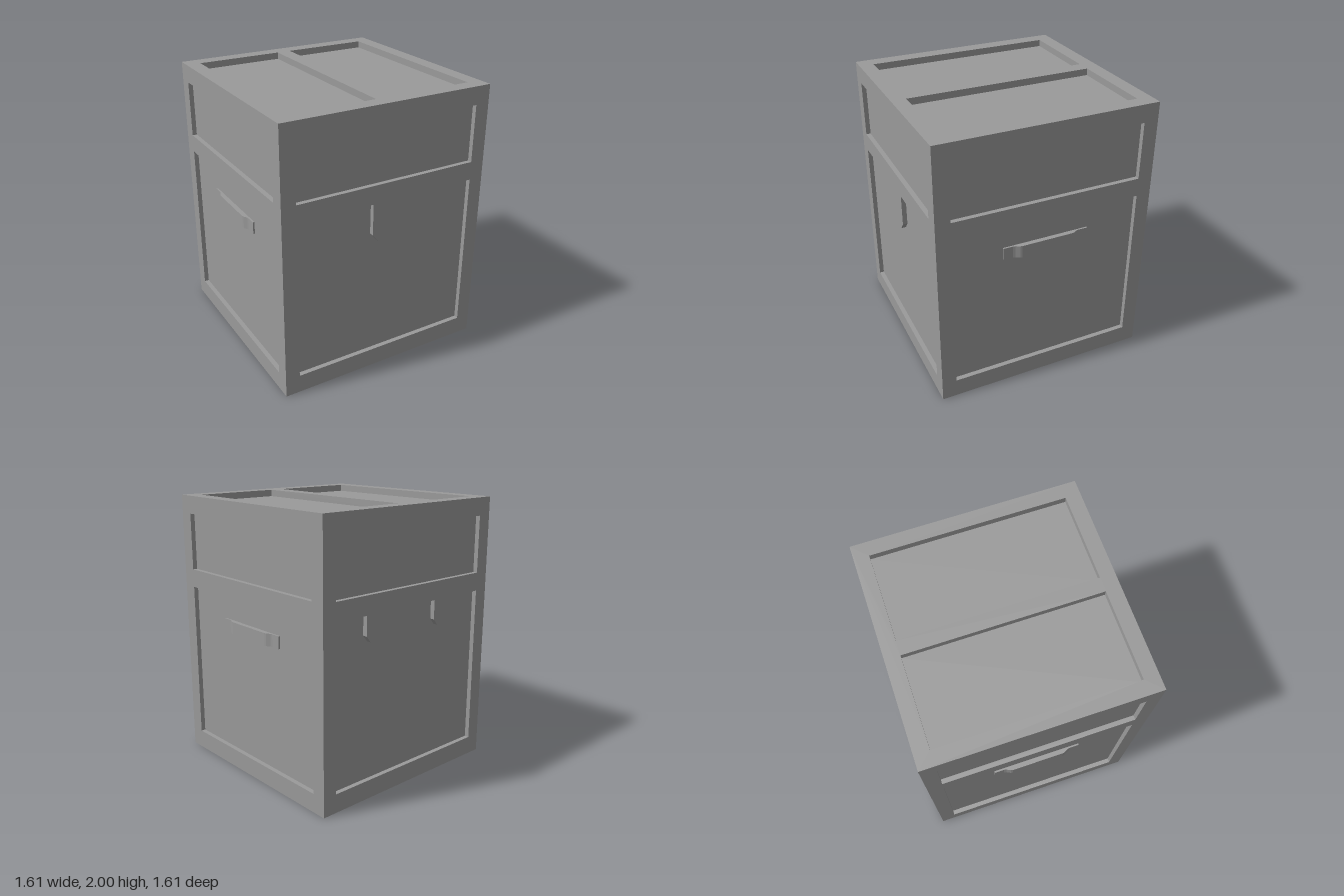
import * as THREE from 'three';

const W = 0.803, H = 2, INSET = 0.696, DEPTH = 0.034;
const material = new THREE.MeshStandardMaterial({ color: 0x9a9a9a, side: THREE.DoubleSide, flatShading: true });

const rect = (x0, y0, x1, y1) => [[x0, y0], [x1, y0], [x1, y1], [x0, y1]];
const toVectors = pts => pts.map(p => new THREE.Vector2(p[0], p[1]));

function add(group, geometry, name) {
  const mesh = new THREE.Mesh(geometry, material);
  mesh.name = name;
  group.add(mesh);
  return mesh;
}

// Thin strip running around an outline, from the frame down to the recessed panel
function revealGeometry(pts, depth) {
  const pos = [], index = [], n = pts.length;
  pts.forEach(([x, y]) => pos.push(x, y, 0, x, y, -depth));
  for (let i = 0; i < n; i++) {
    const a = 2 * i, b = 2 * ((i + 1) % n);
    index.push(a, a + 1, b, b, a + 1, b + 1);
  }
  const g = new THREE.BufferGeometry();
  g.setAttribute('position', new THREE.Float32BufferAttribute(pos, 3));
  g.setIndex(index);
  g.computeVertexNormals();
  return g;
}

// Flat frame facing +z with recessed panels in its openings
function framedFace(name, outline, openings, depth) {
  const group = new THREE.Group();
  group.name = name;
  const frame = new THREE.Shape(toVectors(outline));
  openings.forEach(o => frame.holes.push(new THREE.Path(toVectors(o))));
  add(group, new THREE.ShapeGeometry(frame), 'frame');
  openings.forEach(o => {
    add(group, revealGeometry(o, depth), 'panelEdge');
    add(group, new THREE.ShapeGeometry(new THREE.Shape(toVectors(o))), 'panel').position.z = -depth;
  });
  return group;
}

// Lower opening, with chamfered tabs hanging from its top edge
function lowerOpening(tabCentres, half, bottom, cut) {
  const top = 1.315, pts = [[-INSET, 0.137], [INSET, 0.137], [INSET, top]];
  [...tabCentres].sort((a, b) => b - a).forEach(c => pts.push(
    [c + half, top], [c + half, bottom + cut], [c + half - cut * 0.8, bottom],
    [c - half + cut * 0.8, bottom], [c - half, bottom + cut], [c - half, top]));
  pts.push([-INSET, top]);
  return pts;
}

// Grip bar: low ends rising smoothly to a raised middle
function handleGeometry() {
  const half = [[0.32, 0]];
  for (const x of [0.32, 0.25, 0.235, 0.22, 0.205, 0.19]) {
    half.push([x, 0.012 + 0.022 * (1 - THREE.MathUtils.smoothstep(x, 0.19, 0.25))]);
  }
  const profile = [...half, ...half.map(([x, y]) => [-x, y]).reverse()];
  const g = new THREE.ExtrudeGeometry(new THREE.Shape(toVectors(profile)), { depth: 0.09, bevelEnabled: false });
  return g.rotateX(Math.PI / 2).translate(0, 1.14, -DEPTH);
}

export function createModel() {
  const model = new THREE.Group();
  model.name = 'crate';
  const outline = rect(-W, 0, W, H);
  const upper = rect(-INSET, 1.45, INSET, 1.868);

  // Four walls: latch in front, two hinges behind, a handle on each side
  const walls = [
    ['frontWall', 0, lowerOpening([0], 0.12, 1.03, 0.055)],
    ['leftWall', 1, lowerOpening([], 0, 0, 0)],
    ['backWall', 2, lowerOpening([-0.33, 0.33], 0.1, 1.13, 0.045)],
    ['rightWall', 3, lowerOpening([], 0, 0, 0)],
  ];
  walls.forEach(([name, turn, lower]) => {
    const wall = framedFace(name, outline, [upper, lower], DEPTH);
    const angle = turn * Math.PI / 2;
    wall.rotation.y = angle;
    wall.position.set(Math.sin(angle) * W, 0, Math.cos(angle) * W);
    if (turn % 2) add(wall, handleGeometry(), 'handle');
    model.add(wall);
  });

  // Lid top with two deep panels; the underside stays open
  const lid = framedFace('lidTop', rect(-W, -W, W, W),
    [rect(-INSET, -INSET, -0.053, INSET), rect(0.053, -INSET, INSET, INSET)], 0.05);
  lid.rotation.x = -Math.PI / 2;
  lid.position.y = H;
  model.add(lid);

  return model;
}
